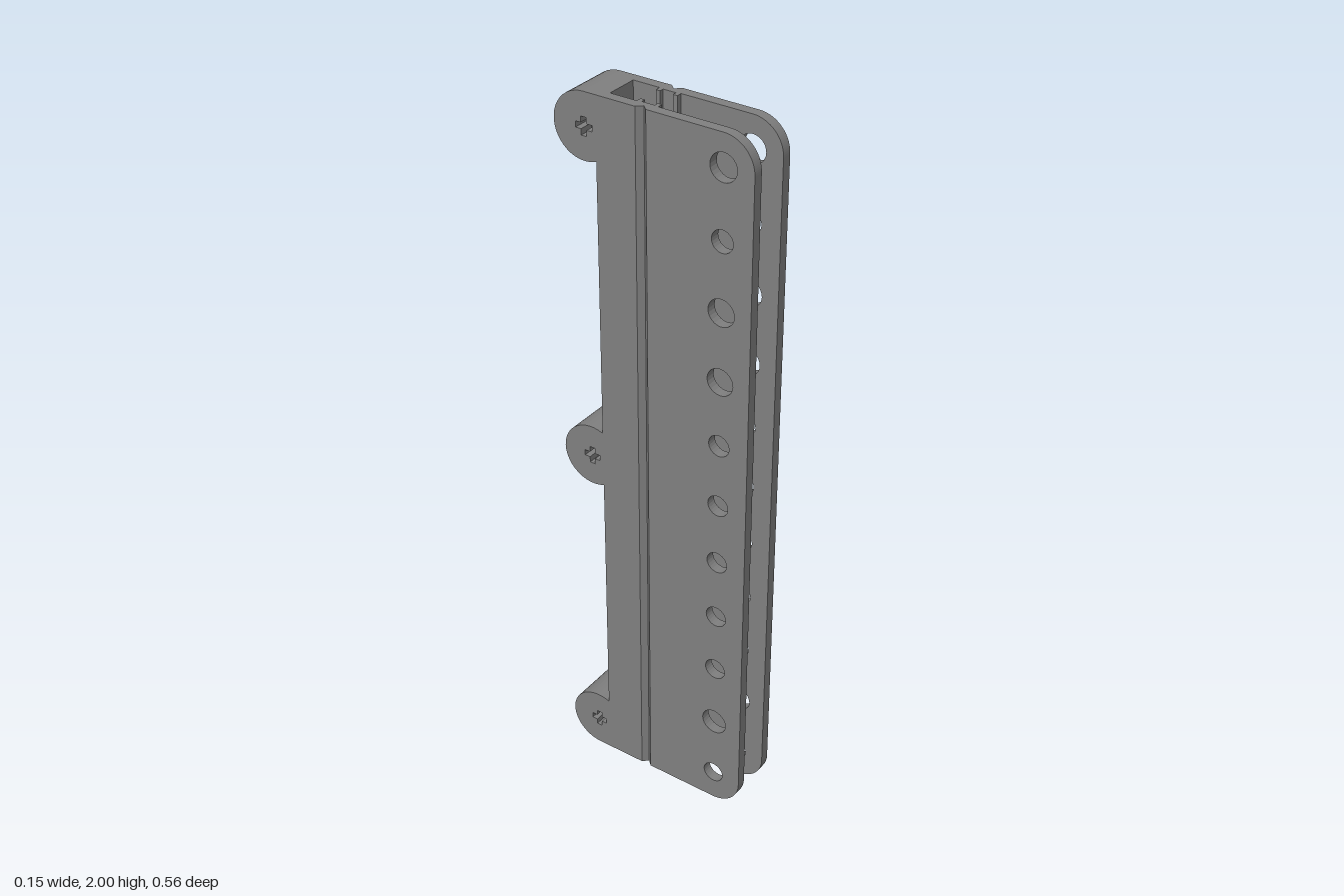
import * as THREE from 'three';

const H = 2, OUT = 0.073, IN = 0.045; // height, outer and inner half widths
const WALL_BACK = -0.158, WALL_FRONT = -0.135;
const R = 0.0875, KNUCKLE_Z = -0.1925;

const material = new THREE.MeshStandardMaterial({ color: 0x7f7f7f, flatShading: true });

const extrude = (shape, depth, curveSegments = 12) =>
  new THREE.ExtrudeGeometry(shape, { depth, curveSegments, bevelEnabled: false });

// Extrude a (z, y) profile between two x positions
const alongX = (shape, x0, x1) =>
  extrude(shape, x1 - x0).rotateY(-Math.PI / 2).translate(x1, 0, 0);

const polygon = (points, Type = THREE.Shape) =>
  new Type(points.map(([x, y]) => new THREE.Vector2(x, y)));

function add(group, name, geometry) {
  const mesh = new THREE.Mesh(geometry, material);
  mesh.name = name;
  group.add(mesh);
}

// Front part of a side plate: rounded corners and a row of holes
function plateShape() {
  const r = 0.085, front = 0.28;
  const s = new THREE.Shape();
  s.moveTo(0, 0);
  s.lineTo(front - r, 0);
  s.absarc(front - r, r, r, -Math.PI / 2, 0);
  s.lineTo(front, H - r);
  s.absarc(front - r, H - r, r, 0, Math.PI / 2);
  s.lineTo(0, H);
  const small = 0.03, large = 0.037;
  const holes = [
    [0.09, small], [0.275, large], [0.46, small], [0.637, small], [0.813, small], [0.99, small],
    [1.17, small], [1.353, large], [1.543, large], [1.73, small], [1.915, large],
  ];
  for (const [y, radius] of holes) {
    s.holes.push(new THREE.Path().absarc(0.197, y, radius, 0, Math.PI * 2, true));
  }
  return s;
}

// Middle part of a side: V groove outside, C-shaped rail inside, as (x, z)
function grooveShape(side) {
  const points = [
    [OUT, WALL_FRONT], [OUT, -0.045], [0.059, -0.03], [OUT, -0.015], [OUT, 0],
    [0.03, 0], [0.03, -0.012], [0.042, -0.012], [0.042, -0.048],
    [0.03, -0.048], [0.03, -0.06], [IN, -0.06], [IN, WALL_FRONT],
  ];
  return polygon(points.map(([x, z]) => [side * x, -z]));
}

// Back wall with two windows, as (x, y)
function backShape() {
  const s = polygon([[-OUT, 0], [OUT, 0], [OUT, H], [-OUT, H]]);
  for (const [y0, y1] of [[0.232, 0.643], [1.34, 1.77]]) {
    s.holes.push(polygon([[-IN, y0], [-IN, y1], [IN, y1], [IN, y0]], THREE.Path));
  }
  return s;
}

// Round knuckle; flat = 1 squares off its top, -1 its bottom, 0 neither
function knuckleShape(y, flat) {
  const a = Math.acos((WALL_BACK - KNUCKLE_Z) / R);
  const start = flat > 0 ? Math.PI / 2 : a;
  const end = flat < 0 ? Math.PI * 1.5 : Math.PI * 2 - a;
  const s = new THREE.Shape();
  s.absarc(KNUCKLE_Z, y, R, start, end);
  if (flat) s.lineTo(WALL_BACK, y + flat * R);
  s.closePath();
  return s;
}

// Small cross-shaped socket
function crossPath(y) {
  const l = 0.024, w = 0.008;
  const points = [
    [l, -w], [l, w], [w, w], [w, l], [-w, l], [-w, w],
    [-l, w], [-l, -w], [-w, -w], [-w, -l], [w, -l], [w, -w],
  ];
  return polygon(points.map(([z, dy]) => [KNUCKLE_Z + z, y + dy]), THREE.Path);
}

export function createModel() {
  const model = new THREE.Group();
  model.name = 'hingedChannel';

  for (const [side, label] of [[1, 'left'], [-1, 'right']]) {
    const [x0, x1] = side > 0 ? [IN, OUT] : [-OUT, -IN];
    add(model, label + 'Plate', alongX(plateShape(), x0, x1));
    add(model, label + 'GrooveAndRail', extrude(grooveShape(side), H).rotateX(-Math.PI / 2));
  }

  add(model, 'backWall', extrude(backShape(), WALL_FRONT - WALL_BACK).translate(0, 0, WALL_BACK));

  // Knuckles: a socketed layer on the right, solid for the rest
  const knuckles = [['bottomKnuckle', R, -1], ['middleKnuckle', 0.9925, 0], ['topKnuckle', H - R, 1]];
  for (const [name, y, flat] of knuckles) {
    const knuckle = new THREE.Group();
    knuckle.name = name;
    const socketDepth = 0.04;
    const socketed = knuckleShape(y, flat);
    socketed.holes.push(crossPath(y));
    add(knuckle, 'socketEnd', alongX(socketed, -OUT, -OUT + socketDepth));
    add(knuckle, 'solidBody', alongX(knuckleShape(y, flat), -OUT + socketDepth, OUT));
    model.add(knuckle);
  }
  return model;
}
